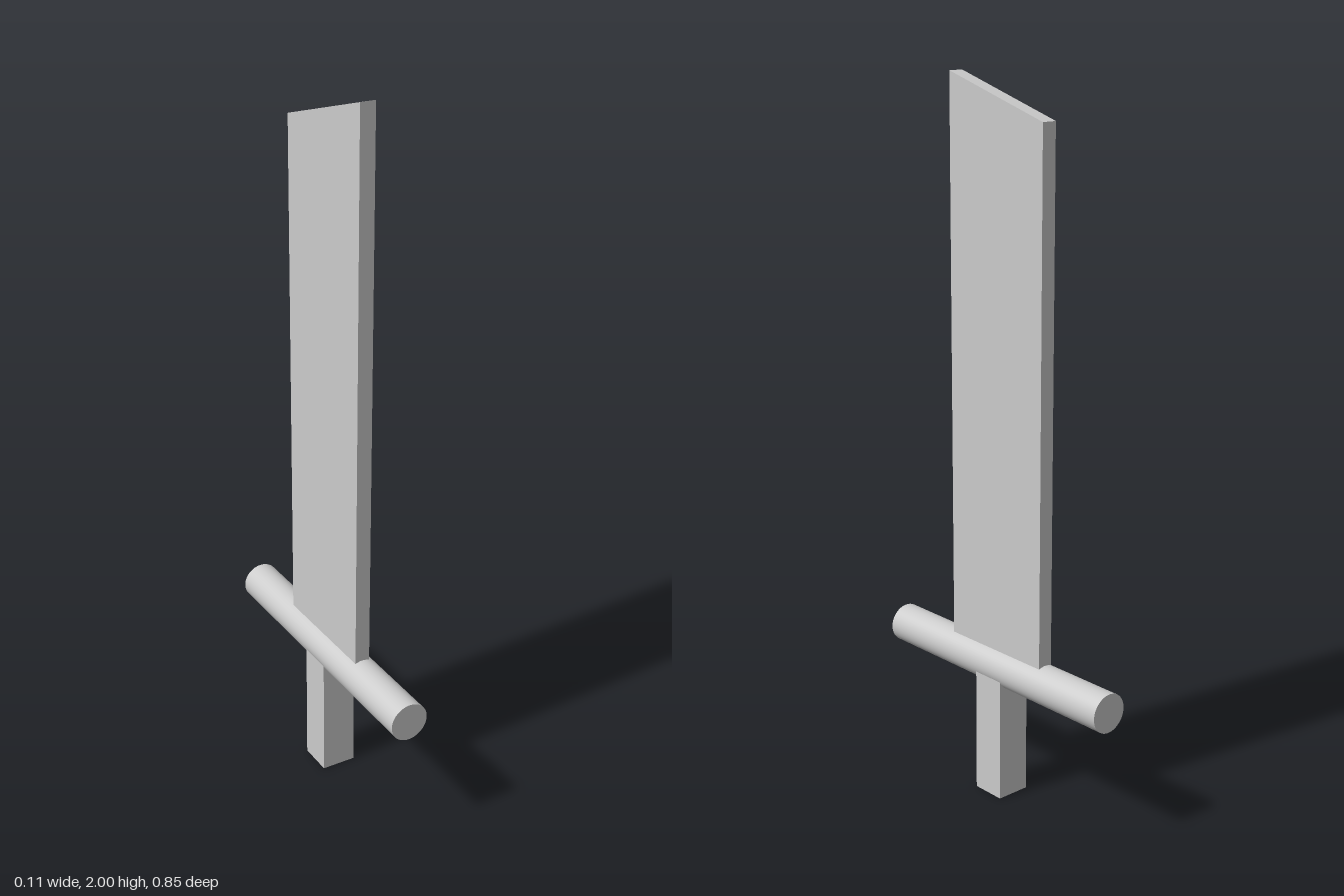
import * as THREE from 'three';

export function createModel() {
  const group = new THREE.Group();
  const material = new THREE.MeshStandardMaterial({ color: 0xcccccc });

  const add = (name, geometry, y = 0) => {
    const mesh = new THREE.Mesh(geometry, material);
    mesh.name = name;
    mesh.position.y = y;
    group.add(mesh);
  };

  // Flat blade with a slanted tip, taller at the front edge
  const thickness = 0.044;
  const profile = new THREE.Shape([
    new THREE.Vector2(-0.178, 0.4),
    new THREE.Vector2(0.178, 0.4),
    new THREE.Vector2(0.178, 2),
    new THREE.Vector2(-0.178, 1.892),
  ]);
  const blade = new THREE.ExtrudeGeometry(profile, { depth: thickness, bevelEnabled: false });
  blade.translate(0, 0, -thickness / 2).rotateY(-Math.PI / 2);
  add('blade', blade);

  // Round crossguard running front to back
  add('crossguard', new THREE.CylinderGeometry(0.055, 0.055, 0.846, 48).rotateX(Math.PI / 2), 0.38);

  // Square grip, its top hidden inside the crossguard
  add('grip', new THREE.BoxGeometry(0.1, 0.38, 0.1), 0.19);

  return group;
}
